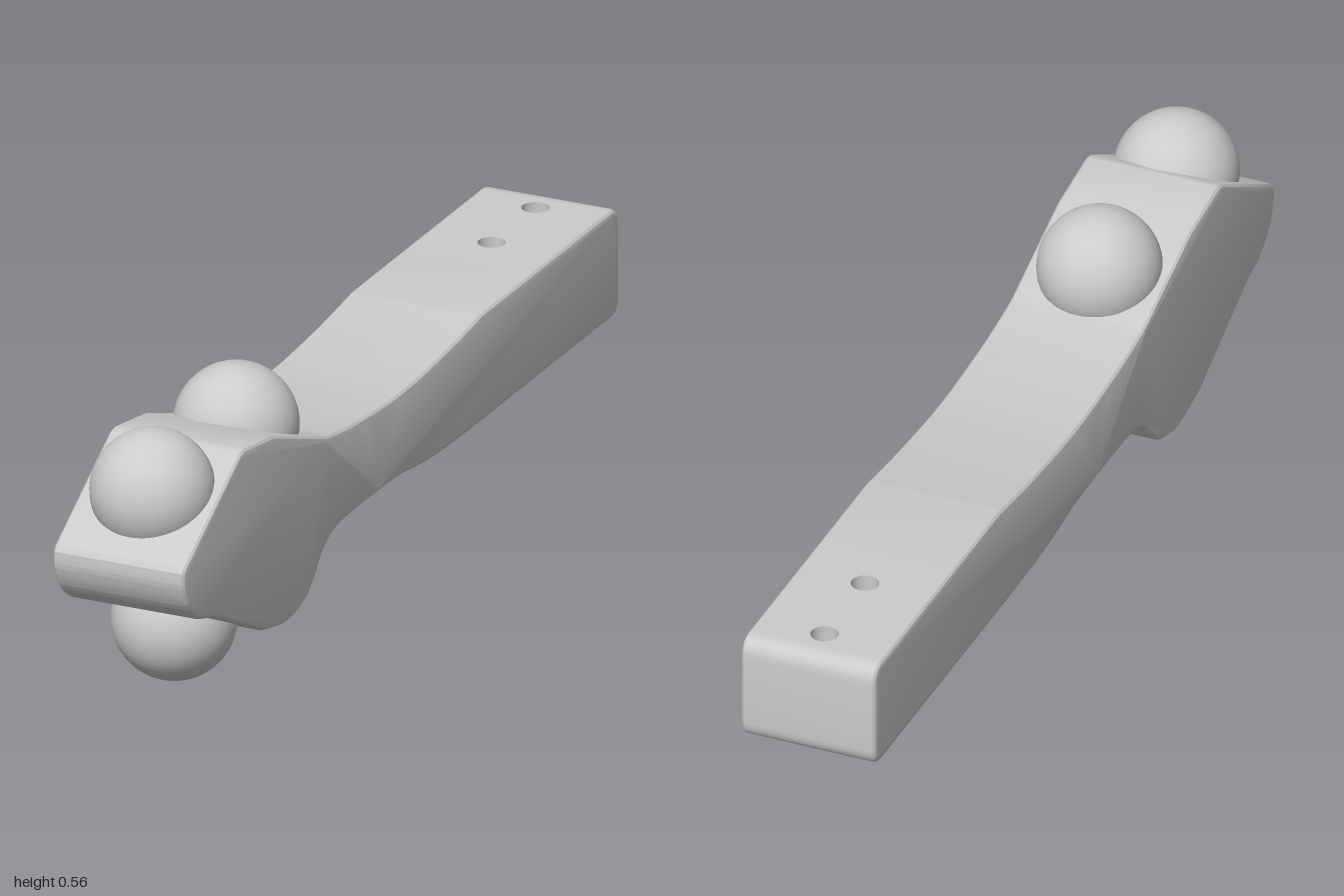
import * as THREE from 'three';
import { toCreasedNormals } from 'three/addons/utils/BufferGeometryUtils.js';

const HALF_W = 0.144, BEVEL = 0.012;
const TOP = 0.385, BOTTOM = 0.155;            // flat faces of the handle
const PANEL_BACK = -0.96, PANEL_FRONT = -0.6; // drilled stretch of the handle
const HOLES = [-0.915, -0.714], HOLE_R = 0.028;

const material = new THREE.MeshStandardMaterial({ color: 0xcccccc });
const innerMaterial = new THREE.MeshStandardMaterial({ color: 0xcccccc, side: THREE.BackSide });

function addMesh(group, name, geometry, mat = material) {
  const mesh = new THREE.Mesh(geometry, mat);
  mesh.name = name;
  group.add(mesh);
  return mesh;
}

const points = (list) => list.map(([z, y]) => new THREE.Vector2(z, y));

// Side profile, drawn as (z, y)
function profile() {
  const s = new THREE.Shape();
  s.moveTo(PANEL_BACK, BOTTOM);
  s.lineTo(PANEL_FRONT, BOTTOM);
  s.lineTo(-0.34, BOTTOM);
  // underside of the neck and the rounded heel
  s.splineThru(points([[-0.18, 0.158], [-0.07, 0.168], [0, 0.177], [0.11, 0.18], [0.25, 0.179],
    [0.314, 0.171], [0.357, 0.148], [0.395, 0.107], [0.438, 0.075], [0.518, 0.058], [0.625, 0.078]]));
  s.lineTo(0.86, 0.192);
  // nose
  s.splineThru(points([[0.925, 0.213], [0.973, 0.25], [0.997, 0.3], [0.999, 0.335]]));
  s.lineTo(0.992, 0.346);
  s.lineTo(0.738, 0.496);
  s.lineTo(0.72, 0.5);
  s.lineTo(0.58, 0.477);
  s.lineTo(0.36, 0.394);
  // top of the neck
  s.splineThru(points([[0.32, 0.384], [0.2, 0.367], [0, 0.355], [-0.205, 0.366], [-0.37, TOP]]));
  s.lineTo(PANEL_FRONT, TOP);
  s.lineTo(PANEL_BACK, TOP);
  // rounded butt end
  s.quadraticCurveTo(-1, TOP, -1, TOP - 0.04);
  s.lineTo(-1, BOTTOM + 0.04);
  s.quadraticCurveTo(-1, BOTTOM, PANEL_BACK, BOTTOM);
  return s;
}

// Extruded body, with the two flat stretches left open for the drilled panels
function bodyGeometry() {
  let g = new THREE.ExtrudeGeometry(profile(), {
    depth: 2 * (HALF_W - BEVEL), curveSegments: 6,
    bevelEnabled: true, bevelThickness: BEVEL, bevelSize: BEVEL, bevelOffset: -BEVEL, bevelSegments: 3,
  });
  g.translate(0, 0, -(HALF_W - BEVEL));
  g.rotateY(-Math.PI / 2);
  g = toCreasedNormals(g, 0.45);
  const p = g.attributes.position, n = g.attributes.normal;
  const pos = [], nor = [];
  for (let i = 0; i < p.count; i += 3) {
    const c = [i, i + 1, i + 2];
    const open = [TOP, BOTTOM].some((y) => c.every((k) => Math.abs(p.getY(k) - y) < 1e-4
      && p.getZ(k) < PANEL_FRONT + 1e-4 && p.getZ(k) > PANEL_BACK - 1e-4));
    if (open) continue;
    for (const k of c) {
      pos.push(p.getX(k), p.getY(k), p.getZ(k));
      nor.push(n.getX(k), n.getY(k), n.getZ(k));
    }
  }
  const out = new THREE.BufferGeometry();
  out.setAttribute('position', new THREE.Float32BufferAttribute(pos, 3));
  out.setAttribute('normal', new THREE.Float32BufferAttribute(nor, 3));
  return out;
}

// Flat panel with two holes; side is 1 for the top, -1 for the underside
function panelGeometry(side) {
  const w = HALF_W - BEVEL;
  const s = new THREE.Shape(points([[-w, -side * PANEL_BACK], [w, -side * PANEL_BACK],
    [w, -side * PANEL_FRONT], [-w, -side * PANEL_FRONT]]));
  for (const z of HOLES) {
    const hole = new THREE.Path();
    hole.absarc(0, -side * z, HOLE_R, 0, Math.PI * 2, true);
    s.holes.push(hole);
  }
  return new THREE.ShapeGeometry(s, 16)
    .rotateX(-side * Math.PI / 2)
    .translate(0, side > 0 ? TOP : BOTTOM, 0);
}

export function createModel() {
  const model = new THREE.Group();
  model.name = 'rollerHandle';

  addMesh(model, 'body', bodyGeometry());
  addMesh(model, 'handleTop', panelGeometry(1));
  addMesh(model, 'handleUnderside', panelGeometry(-1));

  // Walls of the through holes
  HOLES.forEach((z, i) => {
    const wall = new THREE.CylinderGeometry(HOLE_R, HOLE_R, TOP - BOTTOM, 32, 1, true);
    addMesh(model, `holeWall${i + 1}`, wall, innerMaterial).position.set(0, (TOP + BOTTOM) / 2, z);
  });

  // Balls set into the head
  const balls = { frontBall: [0.433, 0.84], rearBall: [0.433, 0.457], lowerBall: [0.125, 0.741] };
  for (const [name, [y, z]] of Object.entries(balls)) {
    addMesh(model, name, new THREE.SphereGeometry(0.125, 48, 32)).position.set(0, y, z);
  }
  return model;
}
